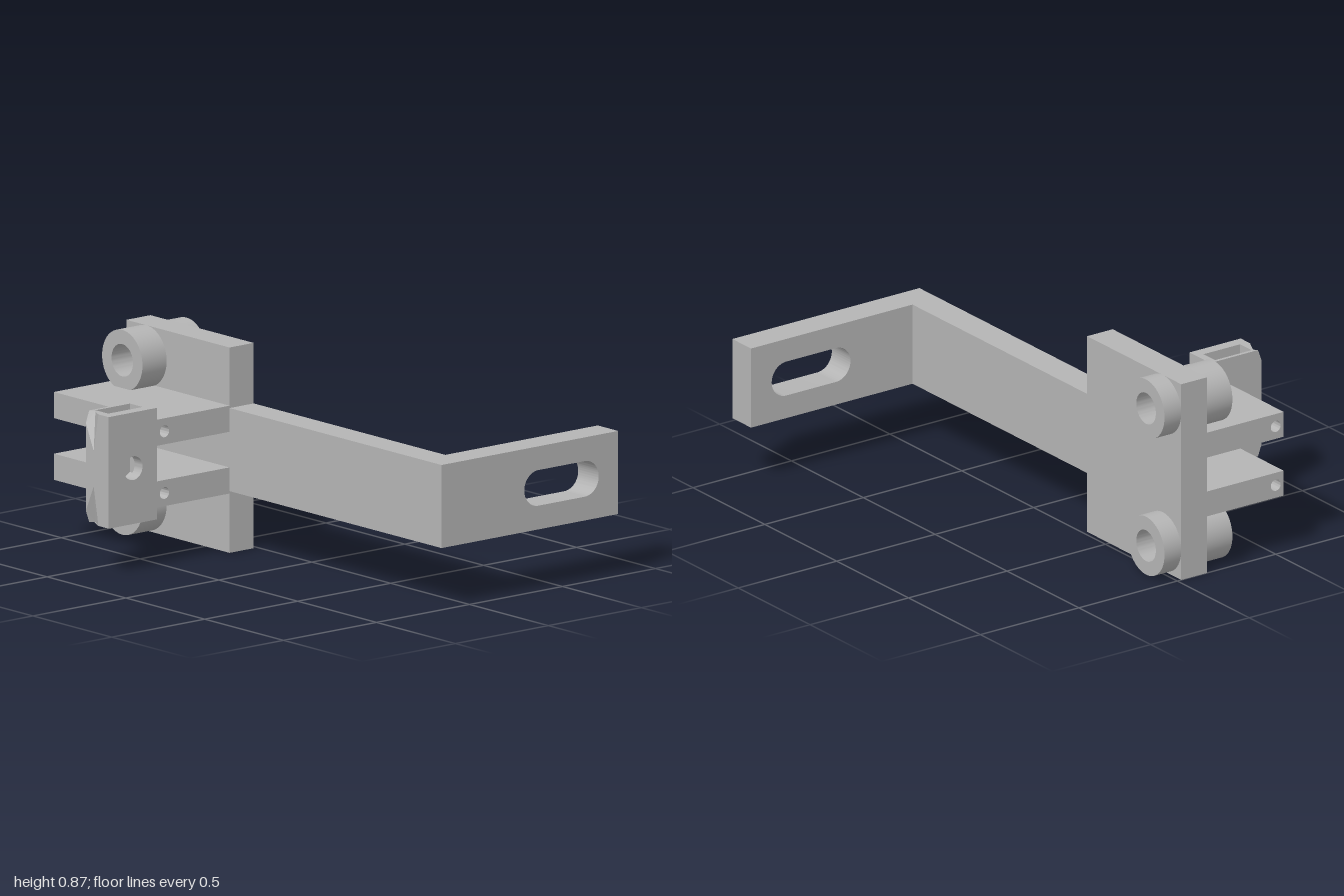
import * as THREE from 'three';
import { toCreasedNormals } from 'three/addons/utils/BufferGeometryUtils.js';

const grey = new THREE.MeshStandardMaterial({ color: 0xb4b4b4 });
grey.name = 'plain grey';

const polygon = (pts) => new THREE.Shape(pts.map(([a, b]) => new THREE.Vector2(a, b)));
const rect = (a0, a1, b0, b1) => polygon([[a0, b0], [a1, b0], [a1, b1], [a0, b1]]);
const circle = (a, b, r) => new THREE.Path().absarc(a, b, r, 0, Math.PI * 2, true);

// Extrude an (x, y) outline from z0 to z1
function alongZ(shape, z0, z1) {
  const geo = new THREE.ExtrudeGeometry(shape, { depth: z1 - z0, bevelEnabled: false, curveSegments: 32 });
  return toCreasedNormals(geo.translate(0, 0, z0), 0.6);
}

// Extrude a (-z, y) outline from x0 to x1
function alongX(shape, x0, x1) {
  return alongZ(shape, x0, x1).rotateY(Math.PI / 2);
}

// Front wall of the nut block: each half has a sloping V notch, mirrored about mid height
function notchedWall(mid) {
  const x0 = -0.49, x1 = -0.345, top = 0.67, zf = 0.8, zb = 0.76;
  const p = {
    a: [x0, 0.62, zf], b: [-0.44, 0.51, zf], c: [-0.41, top, zf], d: [x1, top, zf],
    e: [x1, mid, zf], f: [x0, mid, zf], g: [-0.47, top, 0.765], h: [x0, top, 0.782],
    D: [x1, top, zb], E: [x1, mid, zb], F: [x0, mid, zb], H: [x0, top, zb],
  };
  const faces = ['bafedc', 'abgh', 'bcg', 'HhgcdD', 'FfahH', 'eEDd', 'EFHD'];
  const pos = [];
  for (const flip of [false, true]) {
    for (const face of faces) {
      for (let i = 1; i < face.length - 1; i++) {
        const tri = [face[0], face[i], face[i + 1]];
        if (flip) tri.reverse();
        for (const k of tri) {
          const [x, y, z] = p[k];
          pos.push(x, flip ? 2 * mid - y : y, z);
        }
      }
    }
  }
  const geo = new THREE.BufferGeometry();
  geo.setAttribute('position', new THREE.Float32BufferAttribute(pos, 3));
  geo.computeVertexNormals();
  return geo;
}

export function createModel() {
  const model = new THREE.Group();
  model.name = 'bracket';
  const add = (name, geo, parent = model) => {
    const mesh = new THREE.Mesh(geo, grey);
    mesh.name = name;
    parent.add(mesh);
  };
  const mid = 0.435;
  const bossX = -0.872, bossYs = [0.13, 0.737];

  // Mounting plate with two bores
  const plate = rect(-1, -0.345, 0, 0.865);
  for (const y of bossYs) plate.holes.push(circle(bossX, y, 0.068));
  add('mountingPlate', alongZ(plate, 0.02, 0.15));

  // Bored bosses on both sides of the plate
  for (const y of bossYs) {
    for (const [name, z0, z1] of [['backBoss', -0.065, 0.02], ['frontBoss', 0.15, 0.28]]) {
      const ring = new THREE.Shape().absarc(bossX, y, 0.128, 0, Math.PI * 2);
      ring.holes.push(circle(bossX, y, 0.068));
      add(name, alongZ(ring, z0, z1));
    }
  }

  // Long arm and its slotted end leg
  add('arm', alongZ(rect(-0.345, 0.87, 0.26, 0.61), 0.02, 0.15));
  const leg = rect(-0.15, 0.8, 0.26, 0.61);
  const slot = new THREE.Path();
  slot.absarc(0.37, mid, 0.075, Math.PI / 2, Math.PI * 1.5);
  slot.absarc(0.62, mid, 0.075, -Math.PI / 2, Math.PI / 2);
  slot.closePath();
  leg.holes.push(slot);
  add('slottedLeg', alongX(leg, 0.87, 1));

  // Two shelves drilled lengthwise
  for (const [name, y0, y1] of [['lowerShelf', 0.25, 0.36], ['upperShelf', 0.51, 0.62]]) {
    const shelf = rect(-0.54, -0.15, y0, y1);
    shelf.holes.push(circle(-0.5, (y0 + y1) / 2, 0.025));
    add(name, alongX(shelf, -1, -0.345));
  }

  // Nut block: two cheeks, a pocket open at the top with a V floor, and a notched front wall
  const block = new THREE.Group();
  block.name = 'nutBlock';
  model.add(block);
  for (const [name, x0, x1] of [['thinCheek', -0.49, -0.475], ['thickCheek', -0.395, -0.345]]) {
    const cheek = rect(-0.76, -0.54, 0.2, 0.67);
    cheek.holes.push(circle(-0.668, mid, 0.05));
    add(name, alongX(cheek, x0, x1), block);
  }
  const pocket = polygon([[-0.76, 0.2], [-0.54, 0.2], [-0.54, 0.67], [-0.575, 0.67],
    [-0.575, 0.382], [-0.668, 0.328], [-0.76, 0.382]]);
  add('nutPocket', alongX(pocket, -0.475, -0.395), block);
  add('notchedWall', notchedWall(mid), block);

  return model;
}
